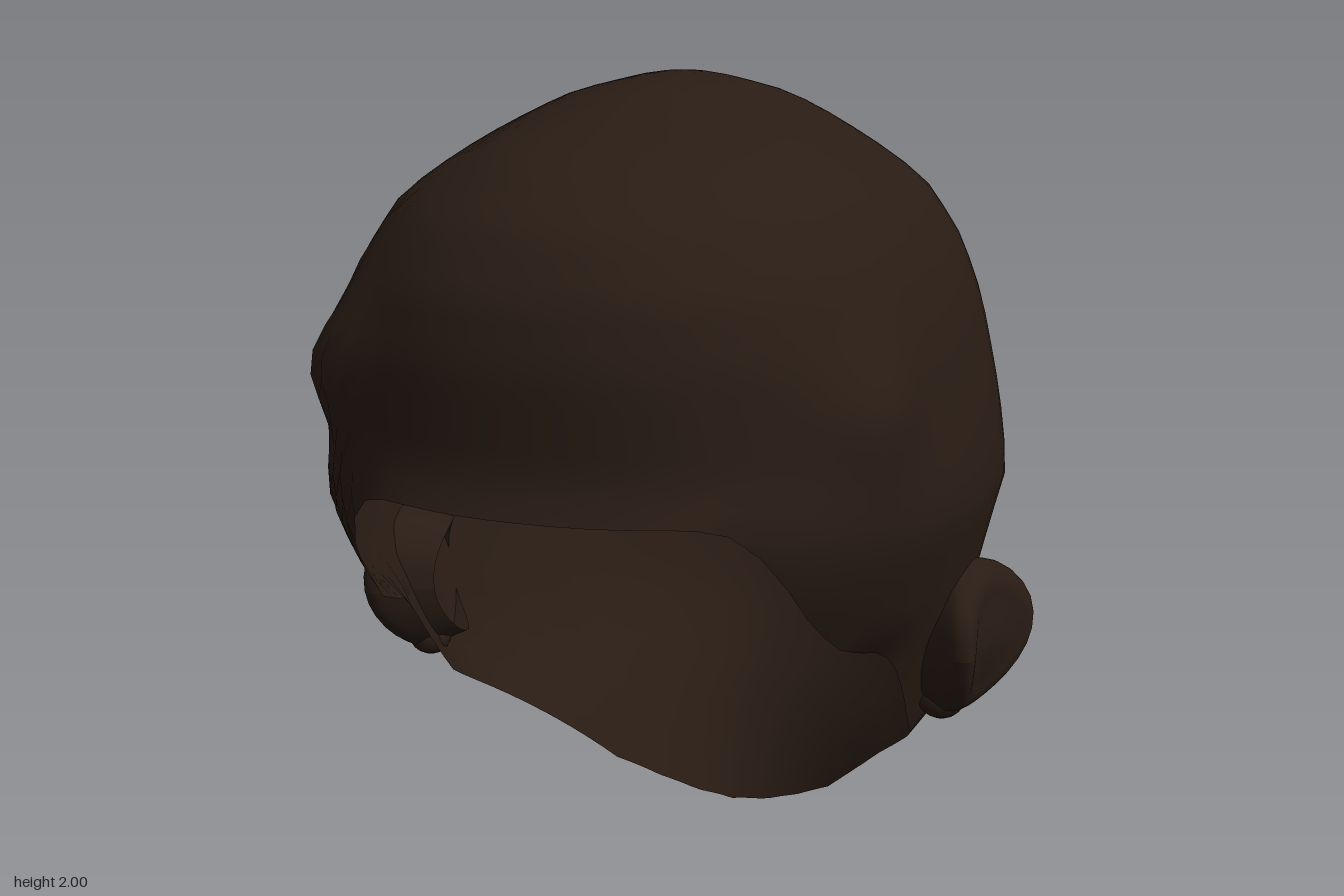
import * as THREE from 'three';

const CZ = -0.05; // z of the crown, the axis all slices turn around

// horizontal slices: height, front z, back z, half width
const SLICES = [
  [2, -0.05, -0.05, 0], [1.98, 0.24, -0.17, 0.14], [1.95, 0.34, -0.28, 0.25],
  [1.92, 0.44, -0.35, 0.31], [1.86, 0.67, -0.49, 0.41], [1.75, 0.83, -0.65, 0.57],
  [1.62, 0.91, -0.77, 0.655], [1.48, 0.935, -0.87, 0.705], [1.25, 0.92, -0.94, 0.755],
  [1.18, 0.95, -0.955, 0.765], [1.08, 0.93, -0.95, 0.778], [0.95, 0.91, -0.93, 0.745],
  [0.82, 0.8, -0.91, 0.715], [0.76, 0.62, -0.895, 0.7], [0.6, 0.48, -0.84, 0.655],
  [0.48, 0.3, -0.78, 0.625], [0.3, 0.1, -0.63, 0.49], [0.12, 0, -0.53, 0.4],
  [0, 0, -0.45, 0.36],
].map(([y, f, b, w]) => [Math.sqrt(2 - y), f - CZ, CZ - b, w]);

// lower edge: angle from the front, height
const RIM = [
  [0, 1.18], [0.34, 1.18], [0.42, 1.165], [0.487, 1.12], [0.588, 1], [0.668, 0.9],
  [0.79, 0.82], [0.91, 0.78], [1.035, 0.755], [1.12, 0.71], [1.26, 0.6], [1.41, 0.48],
  [1.84, 0.31], [2.356, 0.12], [2.65, 0.055], [2.9, 0.015], [Math.PI, 0],
];

// brow corners, slightly uneven: angle, height, swell
const BROWS = [[-0.63, 1.42, 0.09], [0.82, 1.35, 0.06]];

// linear interpolation of table rows by their first column
function lookup(table, key) {
  let i = 1;
  while (i < table.length - 1 && table[i][0] < key) i++;
  const a = table[i - 1], b = table[i];
  const t = THREE.MathUtils.clamp((key - a[0]) / (b[0] - a[0]), 0, 1);
  return a.map((v, k) => v + (b[k] - v) * t);
}

function scalpPoint(angle, y) {
  const [, front, back, width] = lookup(SLICES, Math.sqrt(Math.max(0, 2 - y)));
  const s = Math.abs(Math.sin(angle)), c = Math.cos(angle);
  // boxier at the forehead, more pointed at the back
  const n = c > 0 ? 2 + 0.25 * THREE.MathUtils.smoothstep(y, 0.85, 1.15) : 1.85;
  let r = Math.pow(Math.pow(s / width, n) + Math.pow(Math.abs(c) / (c > 0 ? front : back), n), -1 / n);
  for (const [a, h, swell] of BROWS) {
    r *= 1 + swell * Math.exp(-(((angle - a) / 0.15) ** 2) - ((y - h) / 0.13) ** 2);
  }
  return [r * Math.sin(angle), y, CZ + r * c];
}

// open shell from the crown down to the rim
function scalpGeometry(segments = 88, rings = 28) {
  const pos = [0, 2, CZ], index = [];
  for (let i = 1; i <= rings; i++) {
    for (let j = 0; j < segments; j++) {
      let angle = (j / segments) * Math.PI * 2;
      if (angle > Math.PI) angle -= Math.PI * 2;
      const low = lookup(RIM, Math.abs(angle))[1];
      pos.push(...scalpPoint(angle, low + (2 - low) * Math.cos((i / rings) * Math.PI / 2)));
    }
  }
  const at = (i, j) => 1 + (i - 1) * segments + (j % segments);
  for (let j = 0; j < segments; j++) {
    index.push(0, at(1, j), at(1, j + 1));
    for (let i = 1; i < rings; i++) {
      const a = at(i, j), b = at(i, j + 1), c = at(i + 1, j), d = at(i + 1, j + 1);
      index.push(c, d, b, c, b, a);
    }
  }
  const g = new THREE.BufferGeometry();
  g.setAttribute('position', new THREE.Float32BufferAttribute(pos, 3));
  g.setIndex(index);
  g.computeVertexNormals();
  return g;
}

// thick, barely dished oval, narrower towards the lobe, top and bottom bent inwards
function earGeometry() {
  const profile = [[0.78, -0.14], [0.9, -0.07], [0.98, -0.02], [1, 0.01], [0.92, 0.032],
    [0.76, 0.032], [0.5, 0.015], [0, 0.01]].map(([r, h]) => new THREE.Vector2(r, h));
  const g = new THREE.LatheGeometry(new THREE.SplineCurve(profile).getPoints(20), 28);
  g.rotateZ(-Math.PI / 2);
  const p = g.attributes.position;
  for (let i = 0; i < p.count; i++) {
    const y = p.getY(i), z = p.getZ(i);
    p.setXYZ(i, p.getX(i) - 0.08 * y * y + 0.02 * y, y * 0.19, z * 0.165 * (1 + 0.2 * y));
  }
  g.computeVertexNormals();
  return g;
}

export function createModel() {
  const model = new THREE.Group();
  const mat = new THREE.MeshStandardMaterial({ color: 0x291c14, side: THREE.DoubleSide });
  const add = (parent, name, geometry) => {
    const mesh = new THREE.Mesh(geometry, mat);
    mesh.name = name;
    parent.add(mesh);
    return mesh;
  };

  add(model, 'scalp', scalpGeometry());

  for (const side of [1, -1]) {
    const ear = new THREE.Group();
    ear.name = side > 0 ? 'leftEar' : 'rightEar';
    ear.scale.x = side;

    const shell = add(ear, 'earShell', earGeometry());
    shell.position.set(0.782, 0.71, 0.025);
    shell.rotation.y = -0.3;

    const lobe = add(ear, 'earLobe', new THREE.SphereGeometry(1, 14, 10));
    lobe.scale.set(0.055, 0.045, 0.045);
    lobe.position.set(0.67, 0.55, 0.02);
    model.add(ear);
  }
  return model;
}
